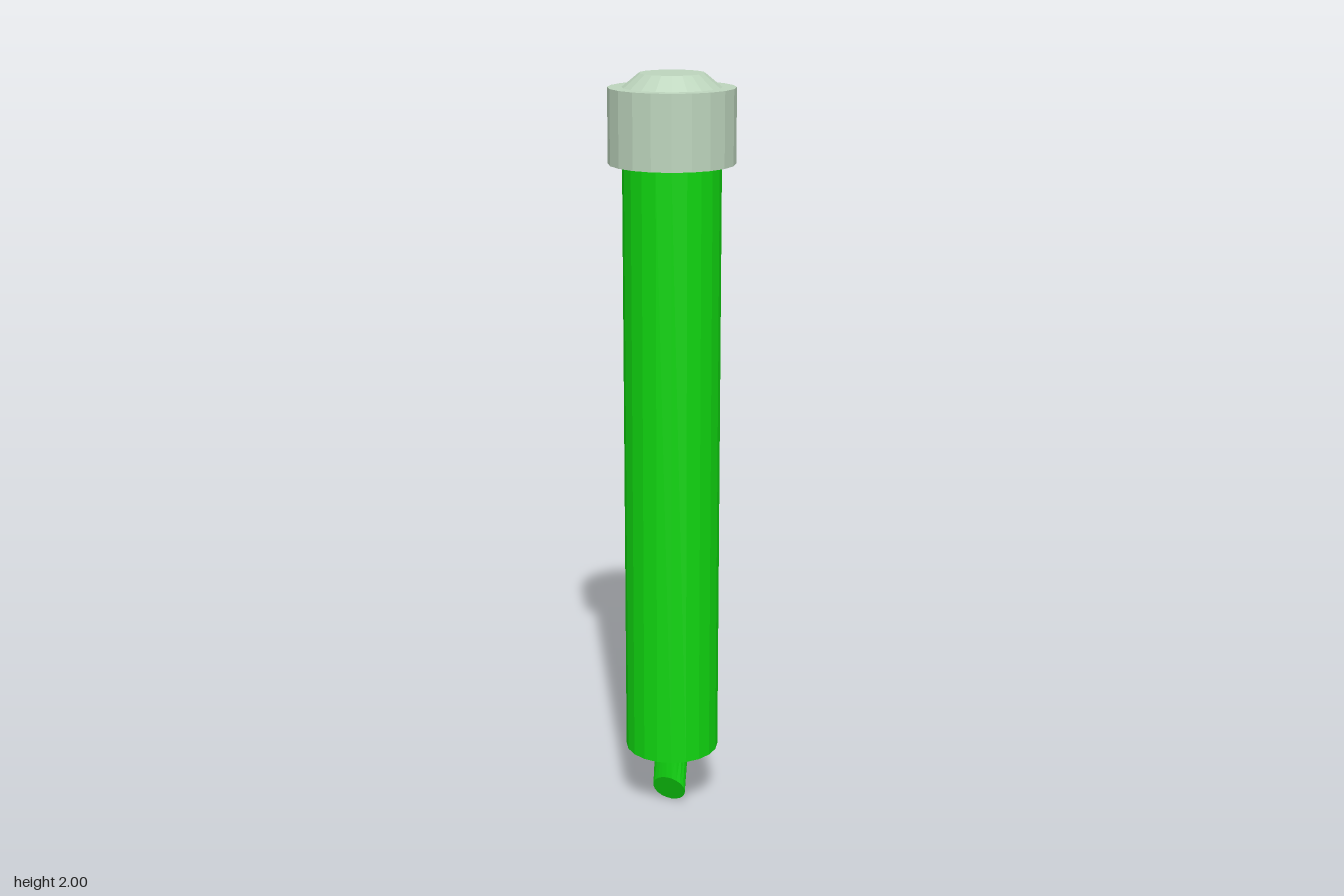
import * as THREE from 'three';

const SIDES = 20;
const BODY_R = 0.126, BODY_BOTTOM = 0.17, CAP_BOTTOM = 1.775;

export function createModel() {
  const group = new THREE.Group();
  const green = new THREE.MeshStandardMaterial({ color: 0x10d510, flatShading: true });
  const pale = new THREE.MeshStandardMaterial({ color: 0xbcd4bc, flatShading: true });

  const add = (name, geometry, material) => {
    const mesh = new THREE.Mesh(geometry, material);
    mesh.name = name;
    group.add(mesh);
  };
  // Turned part from [radius, y] pairs, listed bottom to top
  const turned = (points) =>
    new THREE.LatheGeometry(points.map(([r, y]) => new THREE.Vector2(r, y)), SIDES);

  // Barrel, flaring at the top into the underside of the end cap
  add('barrel', turned([
    [0, BODY_BOTTOM], [BODY_R, BODY_BOTTOM], [BODY_R, CAP_BOTTOM], [0.162, CAP_BOTTOM],
  ]), green);

  // End cap with a flat rim and a bevelled button
  add('endCap', turned([
    [0.162, CAP_BOTTOM], [0.162, 1.965], [BODY_R, 1.965], [0.083, 2], [0, 2],
  ]), pale);

  // Chisel nib: a cylinder whose lower end is slanted up towards the front
  const nibR = 0.046;
  const nib = new THREE.CylinderGeometry(nibR, nibR, 1, SIDES);
  const pos = nib.attributes.position;
  for (let i = 0; i < pos.count; i++) {
    if (pos.getY(i) > 0) {
      pos.setY(i, BODY_BOTTOM);
    } else {
      const t = (1 + pos.getZ(i) / nibR) / 2;
      pos.setY(i, 0.085 * t);
      pos.setZ(i, 0.005 + 0.041 * t);
    }
  }
  nib.computeVertexNormals();
  add('nib', nib, green);

  return group;
}
